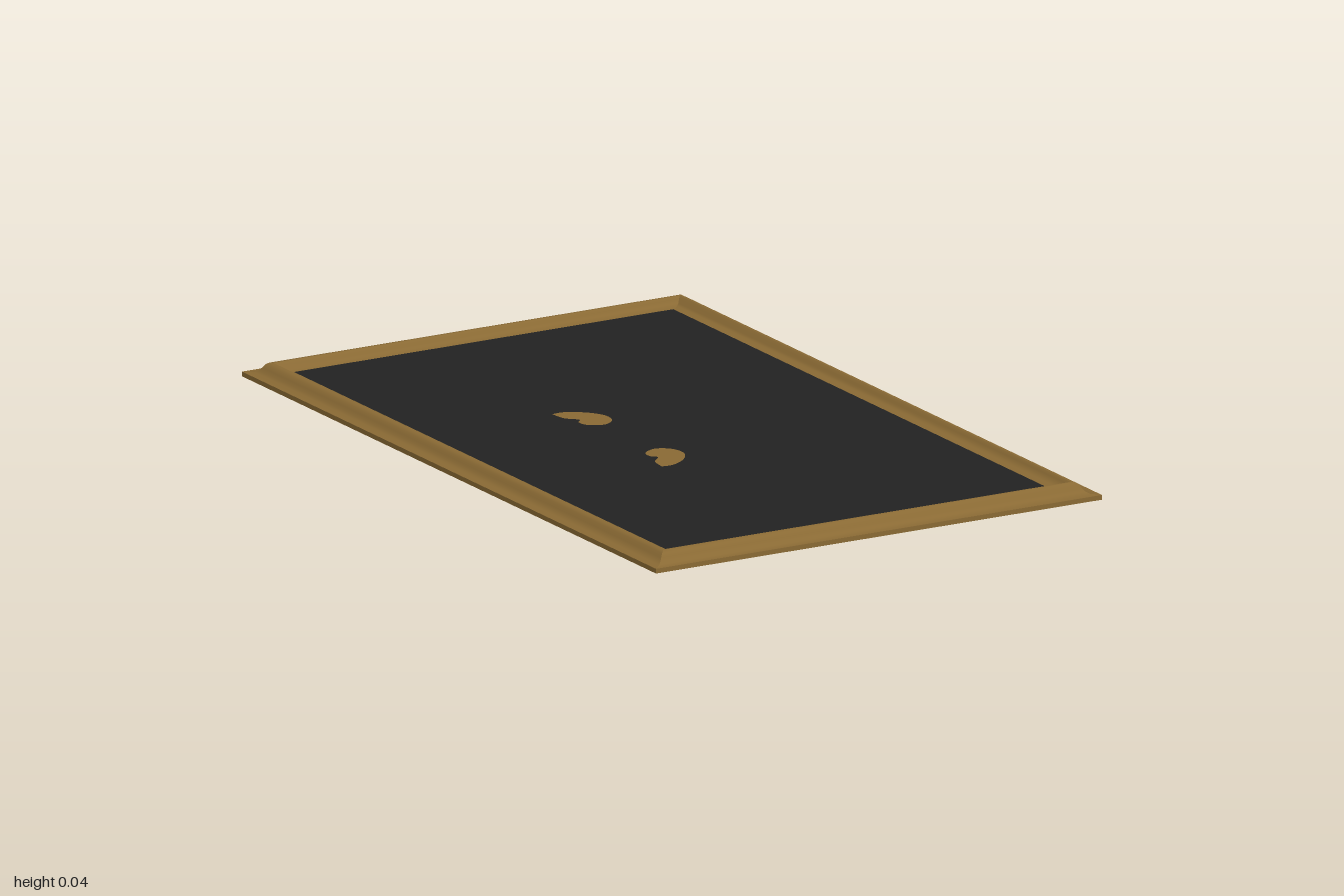
import * as THREE from 'three';
import { toCreasedNormals } from 'three/addons/utils/BufferGeometryUtils.js';

const W = 0.635, D = 1;          // half width and half depth
const INSET = 0.095;             // width of the moulding

// Moulding cross-section: [inset from the outer edge, height]
const PROFILE = [
  [0, 0], [0, 0.012], [0.022, 0.013], [0.03, 0.018], [0.036, 0.026], [0.042, 0.035],
  [0.049, 0.04], [0.056, 0.04], [0.062, 0.034], [0.067, 0.025], [0.075, 0.021], [INSET, 0.019],
];
const CORNERS = [[1, 1], [1, -1], [-1, -1], [-1, 1]];

// One mitred side of the moulding, between two neighbouring corners
function mouldingSide(a, b) {
  const positions = [], index = [];
  PROFILE.forEach(([d, y], j) => {
    for (const [sx, sz] of [a, b]) positions.push(sx * (W - d), y, sz * (D - d));
    if (j > 0) {
      const k = 2 * (j - 1);
      index.push(k, k + 1, k + 3, k, k + 3, k + 2);
    }
  });
  const geometry = new THREE.BufferGeometry();
  geometry.setAttribute('position', new THREE.Float32BufferAttribute(positions, 3));
  geometry.setIndex(index);
  return toCreasedNormals(geometry, 0.7);
}

// Flat shape in x and z, facing up (turn = -1) or down (turn = 1)
function flat(shape, y, turn) {
  return new THREE.ShapeGeometry(shape, 10).rotateX(turn * Math.PI / 2).translate(0, y, 0);
}

function rectangle(x0, x1, z0, z1, Type = THREE.Shape) {
  return new Type([[x0, z0], [x1, z0], [x1, z1], [x0, z1]].map(p => new THREE.Vector2(...p)));
}

export function createModel() {
  const brown = new THREE.MeshStandardMaterial({ color: 0x8a6a34, side: THREE.DoubleSide });
  brown.name = 'wood brown';
  const black = new THREE.MeshStandardMaterial({ color: 0x222222, side: THREE.DoubleSide });
  black.name = 'panel black';

  const model = new THREE.Group();
  model.name = 'framedPanel';
  const add = (parent, geometry, material, name) => {
    const mesh = new THREE.Mesh(geometry, material);
    mesh.name = name;
    parent.add(mesh);
  };

  // Moulded frame with mitred corners
  const frame = new THREE.Group();
  frame.name = 'frame';
  model.add(frame);
  const names = ['frameLeft', 'frameBack', 'frameRight', 'frameFront'];
  CORNERS.forEach((corner, i) => {
    add(frame, mouldingSide(corner, CORNERS[(i + 1) % 4]), brown, names[i]);
  });

  // Dark panel inside the frame
  const px = W - INSET, pz = D - INSET + 0.005;
  add(model, flat(rectangle(-px, px, -pz, pz), 0.0195, -1), black, 'panel');

  // Backing with a long open slot along the left side
  const backing = rectangle(-W, W, -D, D);
  backing.holes.push(rectangle(0.52, 0.61, -0.93, 0.93, THREE.Path));
  add(model, flat(backing, 0, 1), brown, 'backing');

  // Pair of mirrored brown patches on the panel
  const outline = [
    [-0.185, 0.265], [-0.15, 0.265], [-0.105, 0.235], [-0.078, 0.19], [-0.085, 0.145],
    [-0.12, 0.122], [-0.158, 0.14], [-0.165, 0.17], [-0.152, 0.19], [-0.178, 0.22],
  ];
  for (const side of [1, -1]) {
    const points = outline.map(([x, z]) => new THREE.Vector2(x, side * z));
    const patch = new THREE.Shape().setFromPoints([points[0]]);
    patch.splineThru([...points.slice(1), points[0]]);
    add(model, flat(patch, 0.0215, -1), brown, side > 0 ? 'patchBack' : 'patchFront');
  }
  return model;
}
